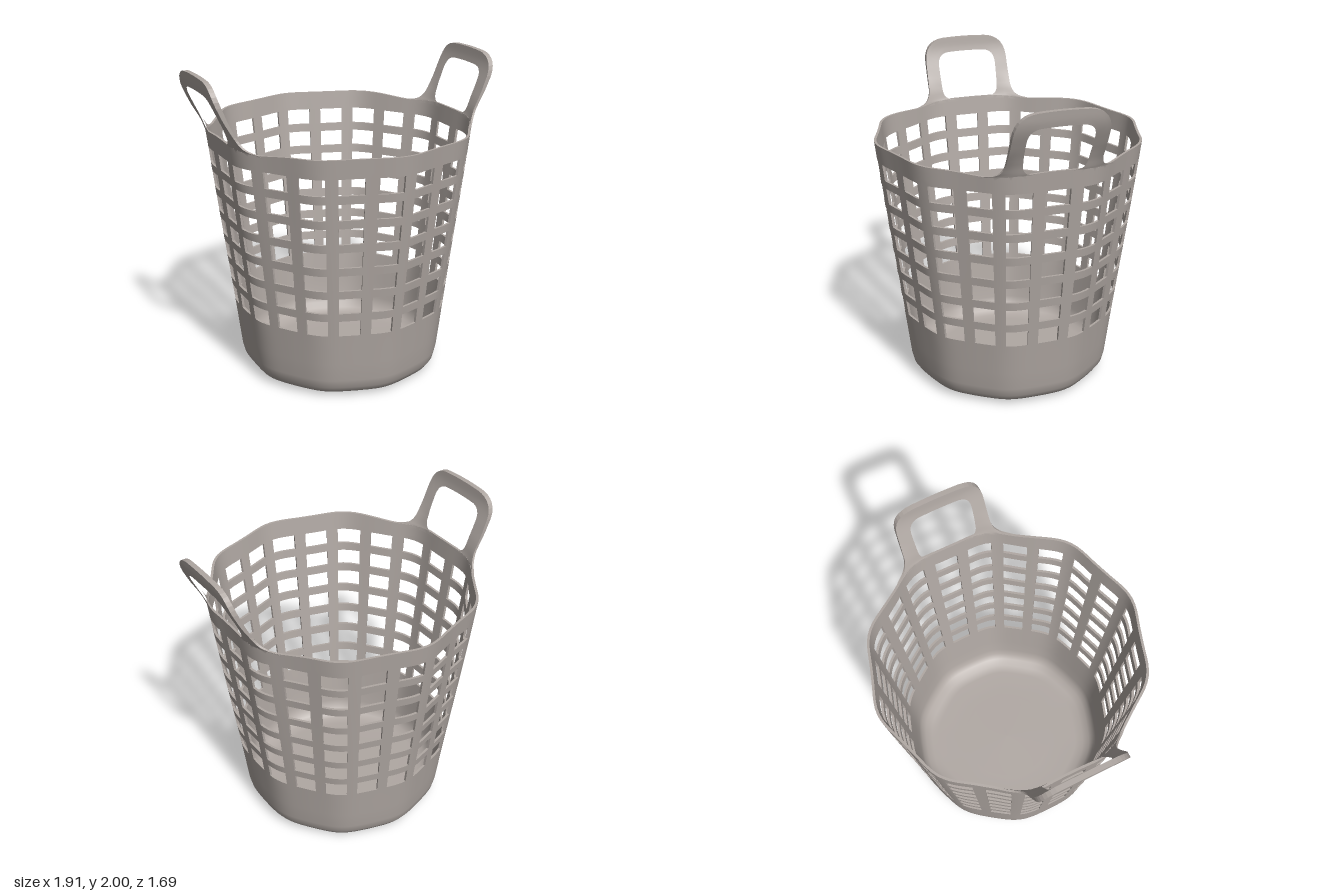
import * as THREE from 'three';

const COLS = 22, ROWS = 7, HOLE_SEG = 4, BAR_SEG = 2;
const HOLE_W = 11, PITCH = 360 / COLS, FIRST = 79.4 - HOLE_W / 2;
const ROW_Y = 0.456, ROW_PITCH = 0.155, ROW_H = 0.103, WALL = 0.015;

const lerp = THREE.MathUtils.lerp;
const smooth = THREE.MathUtils.smoothstep;

// Piecewise-linear lookup in a short table of [key, value]
function lookup(table, k) {
  if (k <= table[0][0]) return table[0][1];
  for (let i = 1; i < table.length; i++) {
    const [k0, v0] = table[i - 1], [k1, v1] = table[i];
    if (k <= k1) return lerp(v0, v1, (k - k0) / (k1 - k0));
  }
  return table[table.length - 1][1];
}

// Soft ten-sided outline: multiplier on the radius at an angle
function outline(theta, y) {
  const corner = Math.pow((1 - Math.cos(10 * theta)) / 2, 1.25);
  return 1 + lerp(0.018, 0.036, smooth(y, 0, 1.4)) * corner;
}

// Thick sheet over an (i, j) grid; empty cells become holes with closed edges
function thickSheet(nu, nv, closed, point, solid = () => true) {
  const pos = [], index = [];
  const cols = closed ? nu : nu + 1;
  for (const inner of [false, true])
    for (let i = 0; i < cols; i++)
      for (let j = 0; j <= nv; j++) pos.push(...point(i, j, inner));
  const half = cols * (nv + 1);
  const id = (i, j) => (i % cols) * (nv + 1) + j;
  const filled = (i, j) => {
    if (j < 0 || j >= nv) return false;
    if (closed) i = (i + nu) % nu;
    else if (i < 0 || i >= nu) return false;
    return solid(i, j);
  };
  const rim = (p, q) => {
    const n = pos.length / 3;
    for (const k of [q, p, p + half, q + half]) pos.push(pos[3 * k], pos[3 * k + 1], pos[3 * k + 2]);
    index.push(n, n + 1, n + 2, n, n + 2, n + 3);
  };
  for (let i = 0; i < nu; i++) for (let j = 0; j < nv; j++) {
    if (!filled(i, j)) continue;
    const a = id(i, j), b = id(i + 1, j), c = id(i + 1, j + 1), d = id(i, j + 1);
    index.push(a, d, c, a, c, b);
    index.push(a + half, b + half, c + half, a + half, c + half, d + half);
    if (!filled(i - 1, j)) rim(a, d);
    if (!filled(i, j + 1)) rim(d, c);
    if (!filled(i + 1, j)) rim(c, b);
    if (!filled(i, j - 1) && j > 0) rim(b, a);
  }
  const geo = new THREE.BufferGeometry();
  geo.setAttribute('position', new THREE.Float32BufferAttribute(pos, 3));
  geo.setIndex(index);
  geo.computeVertexNormals();
  return geo;
}

// Outer wall radius by height
const WALL_R = [[0.456, 0.682], [1.486, 0.8], [1.61, 0.814]];

// Rim height dips slightly on both sides of each handle
function rimHeight(theta) {
  const fromX = Math.atan2(Math.abs(Math.sin(theta)), Math.abs(Math.cos(theta))) * 180 / Math.PI;
  return 1.607 - 0.02 * Math.exp(-(((fromX - 27) / 12) ** 2));
}

function basketGeometry() {
  // Cross-section of floor and lower wall: outer radius, outer y, inner radius, inner y
  const profile = [
    [0, 0.004, 0, 0.024], [0.3, 0.002, 0.3, 0.022], [0.5, 0, 0.49, 0.022], [0.56, 0.011, 0.545, 0.03],
    [0.605, 0.035, 0.588, 0.05], [0.632, 0.075, 0.616, 0.085], [0.645, 0.13, 0.63, 0.133],
    [0.659, 0.25, 0.644, 0.25], [0.671, 0.36, 0.656, 0.36],
  ];
  const base = profile.length;
  for (let r = 0; r < ROWS; r++)
    for (const y of [ROW_Y + r * ROW_PITCH, ROW_Y + r * ROW_PITCH + ROW_H]) {
      const R = lookup(WALL_R, y);
      profile.push([R, y, R - WALL, y]);
    }
  const rimStart = profile.length - 1, nv = rimStart + 3;
  const perCol = HOLE_SEG + BAR_SEG;

  const angle = i => {
    const col = Math.floor(i / perCol), k = i % perCol;
    const part = k < HOLE_SEG ? HOLE_W * k / HOLE_SEG
      : HOLE_W + (PITCH - HOLE_W) * (k - HOLE_SEG) / BAR_SEG;
    return (FIRST + col * PITCH + part) * Math.PI / 180;
  };
  const point = (i, j, inner) => {
    const t = angle(i);
    let r, y;
    if (j <= rimStart) [r, y] = inner ? profile[j].slice(2) : profile[j];
    else {
      y = lerp(profile[rimStart][1], rimHeight(t), (j - rimStart) / 3);
      r = lookup(WALL_R, y) - (inner ? WALL : 0);
    }
    r *= outline(t, y);
    return [r * Math.cos(t), y, r * Math.sin(t)];
  };
  const solid = (i, j) =>
    !(i % perCol < HOLE_SEG && j >= base && j < rimStart + 1 && (j - base) % 2 === 0);
  return thickSheet(COLS * perCol, nv, true, point, solid);
}

// Points along a chain of quadratic curves in (z, y)
function chain(start, curves, n) {
  const path = new THREE.Path().moveTo(...start);
  for (const c of curves) path.quadraticCurveTo(...c);
  return path.getPoints(n);
}

function handleGeometry() {
  const innerHalf = chain([0.09, 1.585], [
    [0.1, 1.601, 0.13, 1.603], [0.195, 1.605, 0.195, 1.68], [0.2, 1.75, 0.2, 1.82],
    [0.2, 1.905, 0.11, 1.905], [0.05, 1.908, 0, 1.908]], 7);
  const outerHalf = chain([0.41, 1.572], [
    [0.4, 1.587, 0.37, 1.59], [0.295, 1.597, 0.289, 1.68], [0.287, 1.76, 0.285, 1.86],
    [0.275, 1.985, 0.15, 1.995], [0.07, 2, 0, 2]], 7);
  const arch = half => [
    ...half.map(p => new THREE.Vector2(-p.x, p.y)),
    ...half.slice(0, -1).reverse(),
  ];
  const inside = arch(innerHalf), outside = arch(outerHalf);

  // Outward lean of the handle above the rim
  const lean = [[1.6, 0], [1.66, 0.018], [1.72, 0.042], [1.8, 0.08], [1.86, 0.108],
    [1.9, 0.123], [1.94, 0.133], [2, 0.14]];
  const across = 4;
  const point = (i, j, inner) => {
    const p = inside[i].clone().lerp(outside[i], j / across);
    const z = p.x, y = p.y, yw = Math.min(y, 1.61);
    const thick = lerp(WALL, 0.032, smooth(y, 1.6, 1.9));
    const R = lookup(WALL_R, yw);
    let x = 0.81;
    for (let k = 0; k < 6; k++) {
      const r = R * outline(Math.atan2(z, x), yw);
      x = Math.sqrt(r * r - z * z);
    }
    x = lerp(x, 0.817, smooth(y, 1.57, 1.78)) + lookup(lean, y);
    return [x - (inner ? thick : 0), y, z];
  };
  return thickSheet(inside.length - 1, across, false, point);
}

export function createModel() {
  const model = new THREE.Group();
  model.name = 'laundryBasket';
  const plastic = new THREE.MeshStandardMaterial({ color: 0xb0a8a3 });
  plastic.name = 'warm grey plastic';

  const basket = new THREE.Mesh(basketGeometry(), plastic);
  basket.name = 'basketBody';
  model.add(basket);

  // One handle on each side
  const geo = handleGeometry();
  [['leftHandle', 0], ['rightHandle', Math.PI]].forEach(([name, turn]) => {
    const handle = new THREE.Mesh(geo, plastic);
    handle.name = name;
    handle.rotation.y = turn;
    model.add(handle);
  });
  return model;
}
